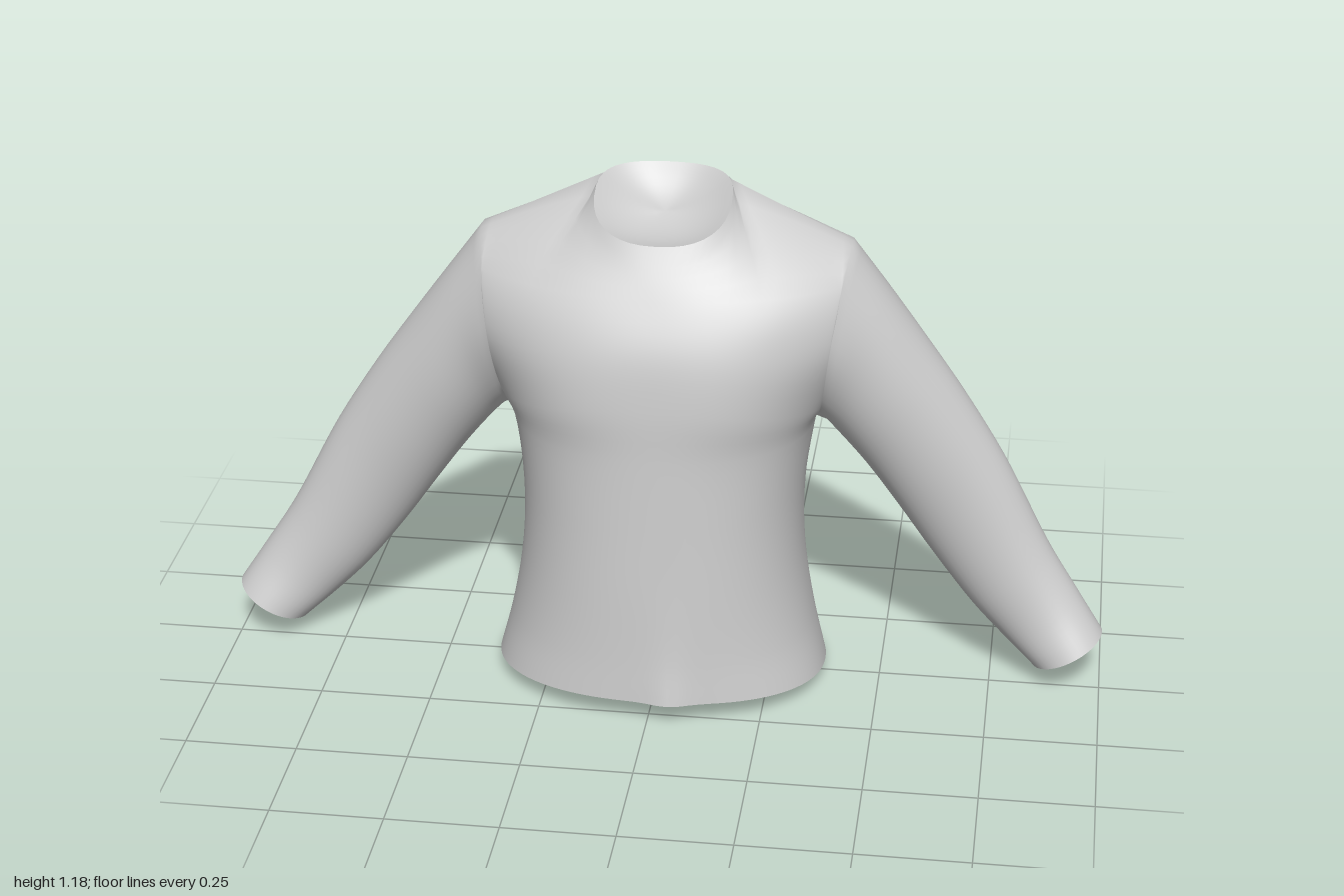
import * as THREE from 'three';
import { mergeVertices } from 'three/addons/utils/BufferGeometryUtils.js';

const COLS = 48;                       // columns across one panel
const STEP = 5, ROWS = 4 * STEP;       // rows between two keys, and from underarm to shoulder
const SHOULDER = COLS / 4;             // columns that end on the shoulder seam, each side
const V = (x, y, z) => new THREE.Vector3(x, y, z);
const mirror = p => V(-p.x, p.y, p.z);
const columns = Array.from({ length: COLS + 1 }, (_, c) => c);

// Smooth curve through the key points, sampled evenly between them
function sample(keys) {
  const curve = new THREE.CatmullRomCurve3(keys);
  const n = (keys.length - 1) * STEP;
  return Array.from({ length: n + 1 }, (_, i) => curve.getPoint(i / n));
}

// Lower body: height, half width, side z, front z, back z, size of the front fold
const lower = [
  [0.00, 0.375, 0.00, 0.291, -0.310, 0.018],
  [0.15, 0.345, -0.01, 0.284, -0.290, 0.007],
  [0.31, 0.320, -0.02, 0.275, -0.277, 0],
  [0.47, 0.317, -0.03, 0.264, -0.267, 0],
  [0.63, 0.338, -0.04, 0.254, -0.260, 0],
];

// Chest and back above the underarm:
// edge x, edge y, edge z, middle y, middle z, falloff to the edge, column squeeze
const upper = {
  front: [
    [0.355, 0.69, 0.045, 0.75, 0.248, 0.8, 1],
    [0.375, 0.84, 0.105, 0.87, 0.228, 1, 1.1],
    [0.395, 0.98, 0.05, 0.98, 0.178, 1, 1.3],
  ],
  back: [
    [0.355, 0.69, -0.16, 0.75, -0.256, 0.8, 1],
    [0.375, 0.84, -0.205, 0.90, -0.248, 1, 1.1],
    [0.395, 0.98, -0.175, 1.05, -0.190, 1, 1.3],
  ],
};

// Sleeve rings: top x, y, underside x, y, front z, back z
const sleeve = [
  [0.49, 0.935, 0.385, 0.595, 0.07, -0.20],
  [0.58, 0.81, 0.45, 0.515, 0.048, -0.19],
  [0.66, 0.695, 0.525, 0.41, 0.03, -0.18],
  [0.76, 0.535, 0.605, 0.295, 0.015, -0.165],
  [0.87, 0.325, 0.70, 0.175, 0.015, -0.15],
  [0.94, 0.215, 0.775, 0.10, 0.025, -0.14],
  [1.00, 0.125, 0.845, 0.04, 0.05, -0.13],
];

const columnCos = c => Math.cos(Math.PI * c / COLS);

function lowerKeys(c, side) {
  const k = columnCos(c);
  return lower.map(([y, w, zSide, zFront, zBack, fold], i) => {
    const zMid = side === 'front' ? zFront : zBack;
    const x = w * k;
    let z = zSide + (zMid - zSide) * Math.max(0, 1 - Math.abs(k) ** 2.2) ** (1 / 2.2);
    if (side === 'front') z += fold * Math.exp(-(((x - 0.05) / 0.05) ** 2));
    return V(x, i === 0 ? Math.max(0, 0.028 + 0.09 * z) : y, z);
  });
}

function upperKeys(c, side) {
  const k = columnCos(c), a = Math.abs(k);
  return upper[side].map(([ex, ey, ez, my, mz, falloff, squeeze]) => V(
    ex * Math.sign(k) * a ** squeeze,
    ey + (my - ey) * (1 - k * k),
    ez + (mz - ez) * Math.max(0, 1 - a ** 3) ** falloff));
}

// Rim of the neck opening, from the shoulder seam (0) to the middle (1)
function neckPoint(t, side) {
  const start = -25;
  const a = THREE.MathUtils.degToRad(start + t * ((side === 'front' ? 90 : -90) - start));
  const s = Math.sign(a) * Math.abs(Math.sin(a)) ** 0.85;
  const y = s > 0 ? 1.155 - 0.072 * s : 1.155 - 0.03 * s * (2 + s);
  return V(0.15 * Math.max(0, Math.cos(a)) ** 0.85, y, 0.12 * s);
}

// Shoulder seam, then the neck rim
function topPoint(c, side) {
  if (c > COLS / 2) return mirror(topPoint(COLS - c, side));
  if (c > SHOULDER) return neckPoint(c / SHOULDER - 1, side);
  return V(0.41, 1.045, -0.06).lerp(neckPoint(0, side), c / SHOULDER);
}

// One column from the hem to underarm level, heading on towards the chest
function lowerColumn(c, side) {
  const k = columnCos(c);
  const next = V(0.36 * k, 0.74, -0.04)
    .lerp(upperKeys(c, side)[0], Math.min(1, 5 * Math.sqrt(1 - k * k)));
  return sample([...lowerKeys(c, side), next]).slice(0, -STEP);
}

// One column from underarm level up to the shoulder or neck
function upperColumn(c, side) {
  const low = lowerKeys(c, side).slice(-2);
  const keys = [...low, ...upperKeys(c, side), topPoint(c, side)];
  const plain = sample(keys).slice(STEP);
  const edge = Math.min(c, COLS - c);
  if (edge >= SHOULDER) return plain;
  // Shoulder columns run over the seam, so the shoulder stays round
  const other = upperKeys(c, side === 'front' ? 'back' : 'front').reverse();
  const over = sample([...keys, ...other]).slice(STEP);
  return plain.map((p, i) => over[i].lerp(p, edge / SHOULDER));
}

// Sleeve lines from the armhole to the cuff, around the arm
function sleeveLines() {
  const front = upperColumn(0, 'front'), back = upperColumn(0, 'back');
  const armhole = [...front, ...back.slice(0, -1).reverse()];
  return armhole.map((start, i) => {
    const phi = Math.PI * i / ROWS;
    const t = (1 - Math.cos(phi)) / 2;
    const rings = sleeve.map(([ox, oy, ix, iy, zf, zb]) => V(
      ix + (ox - ix) * t, iy + (oy - iy) * t,
      (zf + zb) / 2 + (zf - zb) / 2 * Math.sin(phi)));
    return sample([start, ...rings]);
  });
}

// Shallow bowl closing an opening, sunk by the given offset at its centre
function bowl(rim, offset) {
  const centre = rim.reduce((sum, p) => sum.add(p), V(0, 0, 0)).divideScalar(rim.length);
  return rim.map(p => Array.from({ length: 9 }, (_, i) => {
    const s = 1 - i / 8;
    return centre.clone().lerp(p, s).addScaledVector(offset, 1 - s * s);
  }));
}

// Mesh of one or more skins, each a list of neighbouring lines of points
function skinMesh(name, skins) {
  const positions = [];
  for (const { lines, flip } of skins) {
    const tri = (a, b, c) => (flip ? [a, c, b] : [a, b, c])
      .forEach(p => positions.push(p.x, p.y, p.z));
    for (let i = 0; i + 1 < lines.length; i++) {
      for (let j = 0; j + 1 < lines[i].length; j++) {
        const a = lines[i][j], b = lines[i + 1][j];
        const d = lines[i][j + 1], e = lines[i + 1][j + 1];
        tri(a, d, b);
        tri(b, d, e);
      }
    }
  }
  // Shared seams are welded, so shading runs smoothly across them
  let geometry = new THREE.BufferGeometry();
  geometry.setAttribute('position', new THREE.Float32BufferAttribute(positions, 3));
  geometry = mergeVertices(geometry, 1e-4);
  geometry.computeVertexNormals();
  const material = new THREE.MeshStandardMaterial({ color: 0xcccccc, side: THREE.DoubleSide });
  const mesh = new THREE.Mesh(geometry, material);
  mesh.name = name;
  return mesh;
}

export function createModel() {
  // Front and back panels with both sleeves
  const arm = sleeveLines();
  const skins = [{ lines: arm, flip: false }, { lines: arm.map(l => l.map(mirror)), flip: true }];
  for (const side of ['front', 'back']) {
    const flip = side === 'back';
    skins.push({ lines: columns.map(c => lowerColumn(c, side)), flip });
    skins.push({ lines: columns.map(c => upperColumn(c, side)), flip });
  }

  // Rims of the openings
  const around = (cols, point) => [
    ...cols.map(c => point(c, 'front')), ...cols.map(c => point(c, 'back')).reverse()];
  const hem = around(columns, (c, side) => lowerKeys(c, side)[0]);
  const neck = around(columns.slice(SHOULDER, COLS - SHOULDER + 1), topPoint);
  const cuff = arm.map(line => line.at(-1));

  const group = new THREE.Group();
  group.name = 'sweater';
  group.add(
    skinMesh('bodyAndSleeves', skins),
    skinMesh('hemInside', [{ lines: bowl(hem, V(0, 0.09, 0)), flip: true }]),
    skinMesh('neckInside', [{ lines: bowl(neck, V(0, -0.05, -0.01)), flip: false }]),
    skinMesh('leftCuffInside', [{ lines: bowl(cuff, V(-0.02, 0.035, 0)), flip: false }]),
    skinMesh('rightCuffInside', [{ lines: bowl(cuff.map(mirror), V(0.02, 0.035, 0)), flip: true }]),
  );
  return group;
}
